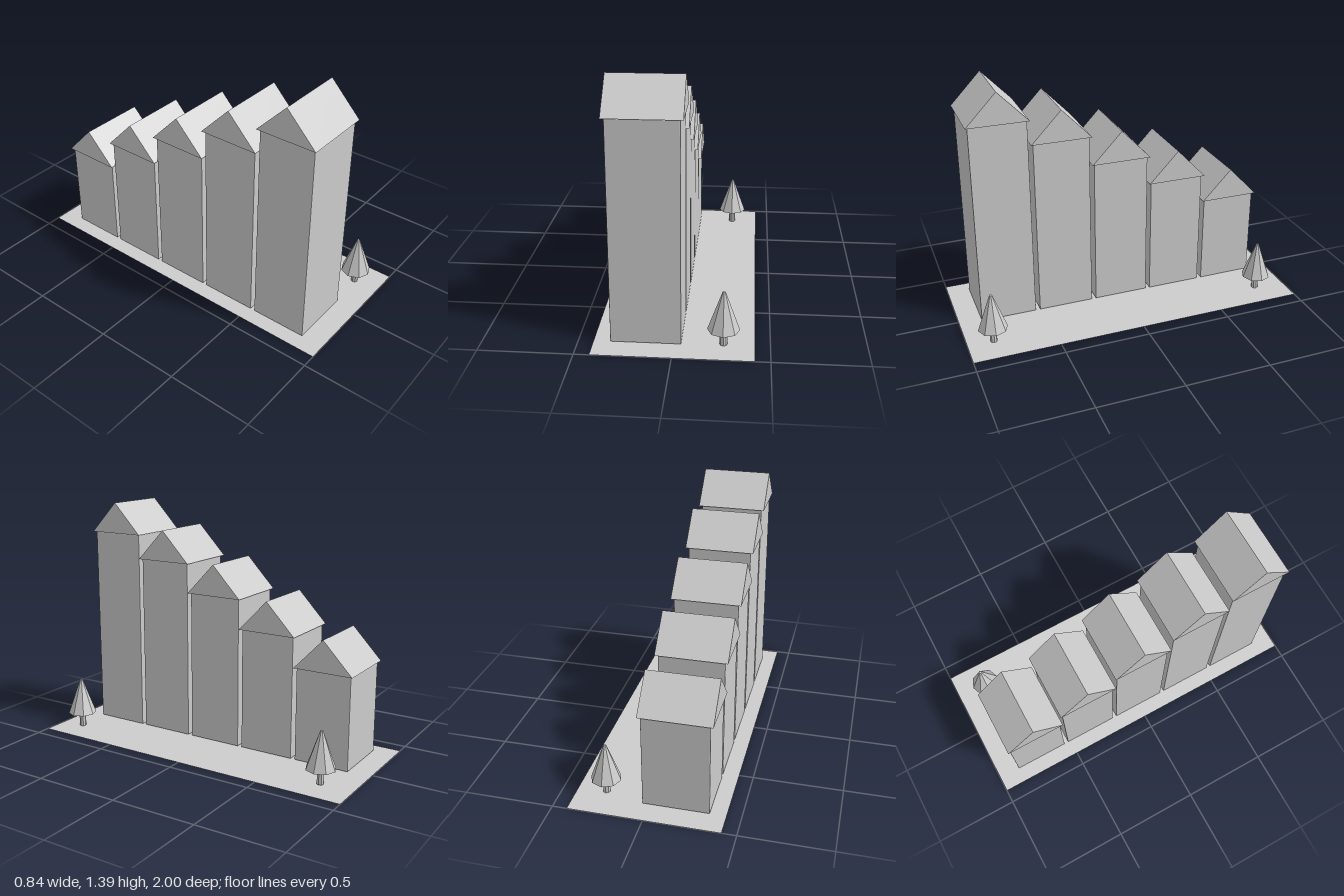
import * as THREE from 'three';
import { RoundedBoxGeometry } from 'three/addons/geometries/RoundedBoxGeometry.js';

const grey = new THREE.MeshStandardMaterial({ color: 0xcccccc, flatShading: true, side: THREE.DoubleSide });
grey.name = 'plain grey';

function part(name, geometry, x, y, z, parent) {
  const mesh = new THREE.Mesh(geometry, grey);
  mesh.name = name;
  mesh.position.set(x, y, z);
  parent.add(mesh);
  return mesh;
}

// Gabled prism with its ridge along x, base at y = 0
function roofGeometry(length, depth, height) {
  const gable = new THREE.Shape();
  gable.moveTo(-depth / 2, 0);
  gable.lineTo(depth / 2, 0);
  gable.lineTo(0, height);
  gable.closePath();
  return new THREE.ExtrudeGeometry(gable, { depth: length, bevelEnabled: false })
    .translate(0, 0, -length / 2)
    .rotateY(Math.PI / 2);
}

// Narrow tower house with an overhanging gabled roof
function house(wallTop, z) {
  const group = new THREE.Group();
  group.name = 'house';
  group.position.set(-0.146, 0, z);
  const bottom = 0.004;
  const height = wallTop - bottom;
  part('walls', new RoundedBoxGeometry(0.37, height, 0.328, 1, 0.004), 0, bottom + height / 2, 0, group);
  part('roof', roofGeometry(0.402, 0.354, 0.185), 0, wallTop, 0, group);
  return group;
}

// Low-poly conifer
function tree(z) {
  const group = new THREE.Group();
  group.name = 'tree';
  group.position.set(0.257, 0, z);
  part('trunk', new THREE.CylinderGeometry(0.02, 0.02, 0.09, 8), 0, 0.049, 0, group);
  part('foliage', new THREE.CylinderGeometry(0.008, 0.085, 0.215, 8), 0, 0.1975, 0, group);
  return group;
}

export function createModel() {
  const model = new THREE.Group();
  model.name = 'rowOfHouses';

  // Flat ground sheet
  part('ground', new THREE.PlaneGeometry(0.84, 2).rotateX(-Math.PI / 2), 0, 0, 0, model);

  // Houses step down from front to back
  [1.21, 1.067, 0.895, 0.722, 0.55].forEach((top, i) => model.add(house(top, 0.706 - i * 0.353)));

  // One tree at each end
  [0.85, -0.81].forEach((z) => model.add(tree(z)));

  return model;
}
